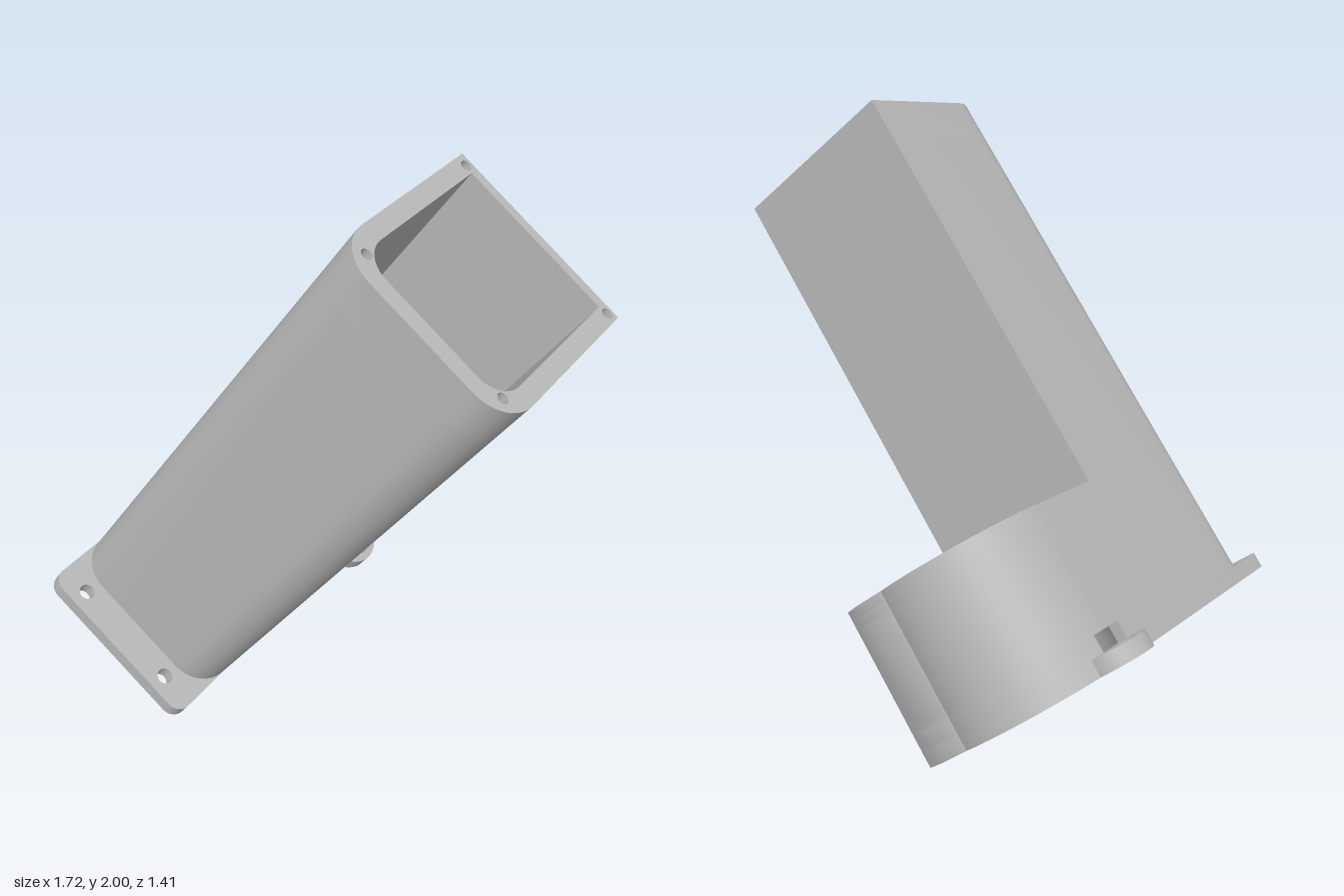
import * as THREE from 'three';
import { toCreasedNormals } from 'three/addons/utils/BufferGeometryUtils.js';

const CU = 0.41, CZ = -0.39;         // ring centre (u across, z depth)
const RO = 0.317, RI = 0.29;         // ring outer and inner radius
const U0 = 0.093, U1 = 0.729;        // sides of the duct
const ZB = -0.066, ZF = 0.587;       // back and front of the duct
const PLATE = 0.053;

// arc in (u, z); 0 deg = +u, positive angles turn towards +z
function arc(cu, cz, r, a0, a1, n) {
  const pts = [];
  for (let i = 0; i <= n; i++) {
    const a = THREE.MathUtils.degToRad(a0 + (a1 - a0) * i / n);
    pts.push([cu + r * Math.cos(a), cz + r * Math.sin(a)]);
  }
  return pts;
}

// outline with sharp back corners and front corners of radius r
const frontRounded = (u0, u1, z0, z1, r) => [
  [u0, z0], [u1, z0],
  ...arc(u1 - r, z1 - r, r, 0, 90, 10),
  ...arc(u0 + r, z1 - r, r, 90, 180, 10),
];
const circle = (u, z, r) => arc(u, z, r, 0, 345, 23);

// (u, z) points as shape points, wound one way for outlines and the other for holes
function wound(pts, clockwise) {
  const v = pts.map(([u, z]) => new THREE.Vector2(u, -z));
  return THREE.ShapeUtils.isClockWise(v) === clockwise ? v : v.reverse();
}

export function createModel() {
  const grey = new THREE.MeshStandardMaterial({ color: 0xb8b8b8 });
  grey.name = 'grey plastic';

  const model = new THREE.Group();
  model.name = 'angledDuct';
  const body = new THREE.Group();
  body.name = 'tiltedBody';
  body.position.set(-0.857, 0.467, 0);
  body.rotation.z = -THREE.MathUtils.degToRad(35.15);
  model.add(body);

  // extrude a (u, z) outline from height v0 to v1 along the duct axis
  function slab(name, outline, v0, v1, holes = []) {
    const shape = new THREE.Shape(wound(outline, false));
    for (const h of holes) shape.holes.push(new THREE.Path(wound(h, true)));
    let g = new THREE.ExtrudeGeometry(shape, { depth: v1 - v0, bevelEnabled: false });
    g.rotateX(-Math.PI / 2);
    g.translate(0, v0, 0);
    g = toCreasedNormals(g, 0.4);
    const mesh = new THREE.Mesh(g, grey);
    mesh.name = name;
    body.add(mesh);
  }

  // square duct with a screw hole in each corner of its upper end
  const bore = frontRounded(0.154, 0.67, -0.035, 0.533, 0.09);
  const outer = frontRounded(U0, U1, ZB, ZF, 0.13);
  const screws = [[0.127, -0.041], [0.699, -0.041], [0.162, 0.52], [0.662, 0.52]]
    .map(([u, z]) => circle(u, z, 0.017));
  // the back screws break into the bore's thin wall, so only the end piece is drilled
  slab('duct', outer, PLATE, 1.8, [bore]);
  slab('ductEnd', outer, 1.8, 1.944, [bore, ...screws]);

  // base plate with the front mounting flange
  slab('baseFlange', frontRounded(U0, U1, ZB, 0.708, 0.05), 0, PLATE,
    [bore, circle(0.204, 0.645, 0.027), circle(0.6, 0.645, 0.027)]);

  // ring holder with a faceted pocket at its back right
  const pocketOut = [[0.774, -0.516], [0.696, -0.658], [0.618, -0.69], [0.525, -0.69]];
  const pocketIn = [[0.64, -0.655], [0.757, -0.49]];
  const backArc = arc(CU, CZ, RO, -70, -180, 28);
  const innerArc = arc(CU, CZ, RI, 10, 298, 72);
  const ringOuter = [[U1, ZB], [U1, -0.4], ...pocketOut, ...backArc, [U0, ZB]];
  const ringInner = [...innerArc, ...pocketIn];
  slab('ringFoot', ringOuter, 0, PLATE, [ringInner]);
  slab('ringWall', ringOuter, 0.11, 0.455, [ringInner]);
  slab('ringRim', ringOuter, 0.485, 0.516, [ringInner]);

  // level with a slot through the pocket face
  slab('ringSlotLevel', [
    ...pocketOut.slice(1), ...backArc, [U0, ZB], [U1, ZB], [U1, -0.4], pocketOut[0],
    pocketIn[1], ...innerArc, pocketIn[0],
  ], 0.455, 0.485);

  // level with a notch above each ear
  slab('ringNotchFront', [
    [U0, ZB], [U1, ZB], [U1, -0.32], ...arc(CU, CZ, RI, 14, 166, 38), [U0, -0.32],
  ], PLATE, 0.11);
  slab('ringNotchBack', [
    [0.752, -0.46], ...pocketOut, ...backArc.slice(0, 26),
    ...arc(CU, CZ, RI, -166, -62, 26), ...pocketIn, [0.742, -0.46],
  ], PLATE, 0.11);

  // rounded screw ears on both sides of the ring
  slab('rightEar', arc(0.115, CZ, 0.115, 90, 270, 20), 0, PLATE, [circle(0.053, CZ, 0.027)]);
  slab('leftEar', arc(0.697, CZ, 0.115, -90, 90, 20), 0, PLATE, [circle(0.76, CZ, 0.027)]);

  return model;
}
